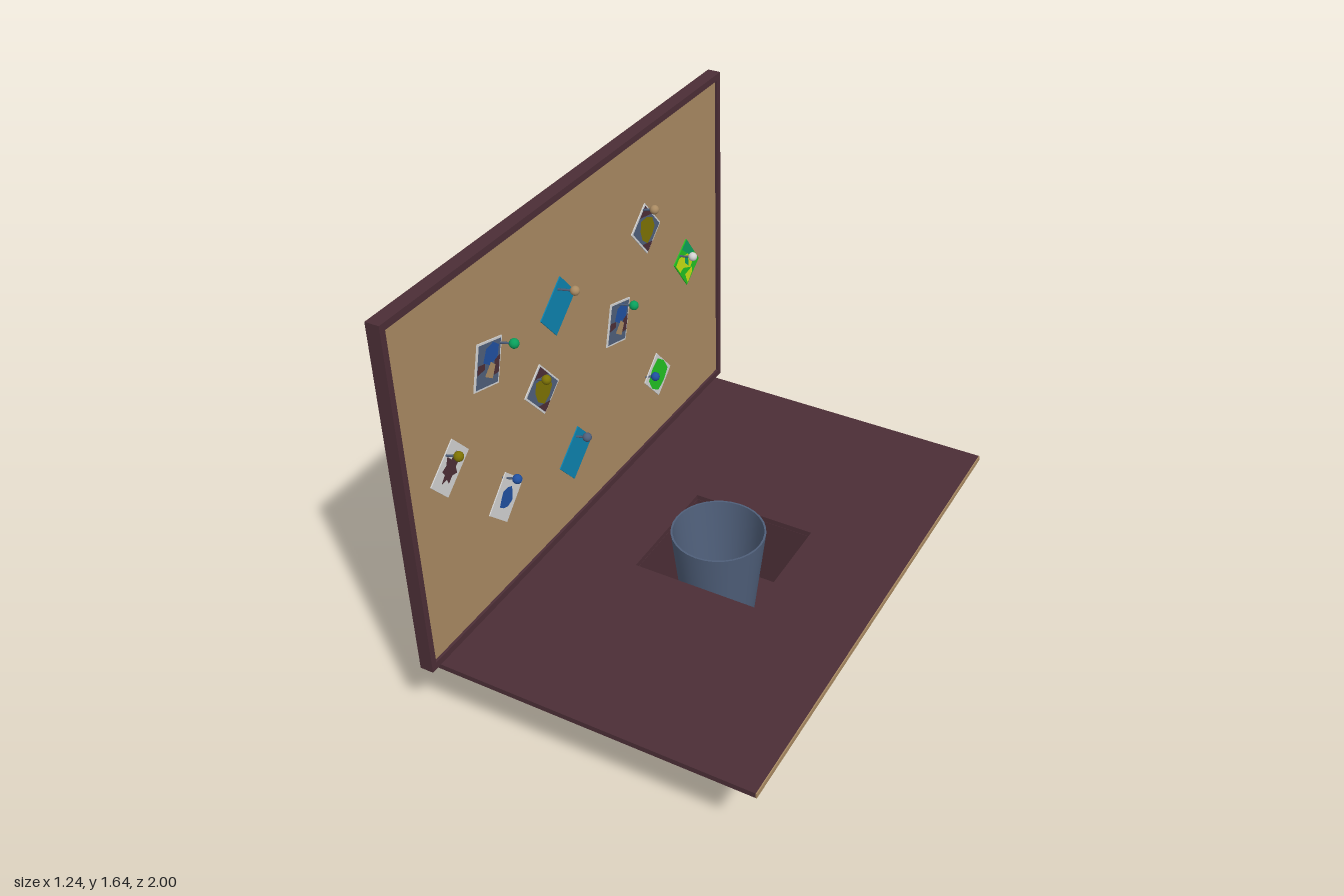
import * as THREE from 'three';
import { toCreasedNormals } from 'three/addons/utils/BufferGeometryUtils.js';

const paint = (name, color) => Object.assign(new THREE.MeshStandardMaterial({ color }), { name });
const M = {
  brown: paint('dark brown wood', 0x4c2e36),
  cork: paint('cork tan', 0xa98a62),
  slate: paint('slate blue', 0x4f5f7a),
  teal: paint('sky blue', 0x0d82ae),
  olive: paint('olive', 0x7d7203),
  blue: paint('blue', 0x2050a0),
  white: paint('paper white', 0xd2d2d2),
  green: paint('emerald green', 0x0aa05c),
  lime: paint('bright green', 0x22c122),
  yellow: paint('yellow green', 0xc6e012),
};

function add(parent, name, geometry, material, x = 0, y = 0, z = 0) {
  const m = new THREE.Mesh(geometry, material);
  m.name = name;
  m.position.set(x, y, z);
  parent.add(m);
  return m;
}
const box = (w, h, d) => new THREE.BoxGeometry(w, h, d);
const poly = (pts) => new THREE.Shape(pts.map(([x, y]) => new THREE.Vector2(x, y)));
const rect = (x0, y0, x1, y1) => poly([[x0, y0], [x1, y0], [x1, y1], [x0, y1]]);

// Rectangular slab with a rectangular opening
function slab(outer, inner, depth) {
  const s = rect(...outer);
  s.holes.push(rect(...inner));
  return new THREE.ExtrudeGeometry(s, { depth, bevelEnabled: false });
}

// Closed irregular outline from a list of radii
const blob = (radii, sx, sy) => radii.map((r, i) => {
  const a = (i / radii.length) * Math.PI * 2;
  return [Math.cos(a) * r * sx, Math.sin(a) * r * sy];
});

// Drawings: layers of [material, outline], outlines in half-widths and half-heights
const frameRect = [[-0.9, -0.92], [0.9, -0.92], [0.9, 0.92], [-0.9, 0.92]];
const art = {
  plain: { paper: 'teal', layers: [] },
  landscape: { paper: 'white', layers: [
    ['slate', frameRect],
    ['brown', [[0.9, -0.5], [0.9, 0.25], [0.45, 0.1], [0.5, -0.55]]],
    ['brown', [[-0.9, -0.3], [-0.3, -0.15], [-0.35, 0.1], [-0.9, 0.1]]],
    ['blue', [[-0.5, 0.15], [0.1, -0.05], [0.65, 0.2], [0.7, 0.7], [0.2, 0.9], [-0.35, 0.7]]],
    ['cork', [[-0.3, -0.45], [0.35, -0.65], [0.5, -0.1], [0.1, 0.1]]],
  ] },
  portrait: { paper: 'white', layers: [
    ['slate', frameRect],
    ['brown', [[0.1, 0.92], [0.9, 0.92], [0.9, 0.1]]],
    ['brown', [[-0.9, -0.2], [-0.9, -0.92], [-0.2, -0.92]]],
    ['olive', blob([0.8, 0.72, 0.85, 0.7, 0.75, 0.85, 0.7, 0.8], 0.95, 0.9)],
  ] },
  splat: { paper: 'white', layers: [
    ['brown', blob([0.8, 0.45, 0.75, 0.5, 0.8, 0.45, 0.85, 0.5, 0.7, 0.45, 0.8, 0.5, 0.75, 0.5], 1, 0.9)],
  ] },
  dot: { paper: 'white', layers: [['blue', blob([0.65, 0.5, 0.62, 0.55, 0.6, 0.5, 0.66, 0.55, 0.6], 1, 0.9)]] },
  bush: { paper: 'white', layers: [['lime', blob([1, 1.15, 0.95, 1.1, 1, 1.1, 0.95, 1.15], 0.97, 0.88)]] },
  leaf: { paper: 'lime', layers: [
    ['green', [[0.2, 0.98], [0.98, 0.98], [0.98, -0.2], [0.5, 0.1]]],
    ['yellow', [[-0.95, 0.85], [-0.4, 0.9], [0.4, 0.35], [0.6, -0.4], [0, -0.5], [-0.5, 0.1], [-0.95, 0.2]]],
    ['yellow', [[-0.9, -0.9], [-0.1, -0.85], [0.1, -0.6], [-0.7, -0.3]]],
    ['green', [[0.1, 0.5], [0.3, 0.2], [-0.1, -0.2], [-0.2, 0.2]]],
  ] },
};

// [drawing, y, z, tilt in degrees, width, height, x, pin colour, pin y, pin z, pin x]
const notes = [
  ['landscape', 1.247, 0.535, -15, 0.132, 0.162, -0.556, 'green', 1.298, 0.461, -0.502],
  ['plain', 1.243, 0.133, -50, 0.128, 0.166, -0.556, 'cork', 1.316, 0.124, -0.49],
  ['portrait', 1.257, -0.444, 40, 0.128, 0.160, -0.556, 'cork', 1.35, -0.432, -0.51],
  ['splat', 1.0, 0.778, -50, 0.114, 0.166, -0.556, 'olive', 1.068, 0.785, -0.508],
  ['portrait', 0.986, 0.262, 40, 0.128, 0.160, -0.556, 'olive', 1.05, 0.284, -0.518],
  ['landscape', 0.98, -0.23, -15, 0.132, 0.162, -0.556, 'green', 1.06, -0.245, -0.495],
  ['leaf', 0.975, -0.734, 36, 0.118, 0.160, -0.556, 'white', 1.037, -0.685, -0.5],
  ['dot', 0.716, 0.53, -45, 0.124, 0.154, -0.544, 'blue', 0.797, 0.514, -0.502],
  ['plain', 0.607, 0.09, -50, 0.128, 0.166, -0.556, 'slate', 0.685, 0.08, -0.51],
  ['bush', 0.607, -0.484, 41, 0.125, 0.152, -0.55, 'blue', 0.645, -0.418, -0.52],
];

function makeNote([kind, y, z, tilt, w, h, x]) {
  const g = new THREE.Group();
  g.name = 'pinnedNote';
  g.position.set(x, y, z);
  g.rotation.set(0, Math.PI / 2, THREE.MathUtils.degToRad(tilt));
  add(g, 'paper', box(w, h, 0.004), M[art[kind].paper]);
  art[kind].layers.forEach(([mat, pts], i) => {
    const shape = poly(pts.map(([px, py]) => [px * w / 2, py * h / 2]));
    add(g, 'drawing', new THREE.ShapeGeometry(shape), M[mat], 0, 0, 0.003 + i * 0.001);
  });
  return g;
}

function makePin(mat, y, z, x) {
  const g = new THREE.Group();
  g.name = 'pushPin';
  const head = new THREE.Vector3(x, y, z);
  const tip = new THREE.Vector3(-0.562, y - 0.012, z + 0.004);
  const dir = head.clone().sub(tip);
  const mid = head.clone().add(tip).multiplyScalar(0.5);
  add(g, 'pinHead', new THREE.SphereGeometry(0.017, 14, 10), mat, x, y, z);
  const needle = add(g, 'needle', new THREE.CylinderGeometry(0.004, 0.004, dir.length(), 8), M.slate, mid.x, mid.y, mid.z);
  needle.quaternion.setFromUnitVectors(new THREE.Vector3(0, 1, 0), dir.normalize());
  return g;
}

export function createModel() {
  const model = new THREE.Group();
  model.name = 'pinboardTable';

  // Table top with a square opening, and its tan front edging
  const top = add(model, 'tableTop', slab([-0.618, -0.957, 0.614, 0.957], [-0.237, -0.227, 0.237, 0.227], 0.02), M.brown, 0, 0.29, 0);
  top.rotation.x = -Math.PI / 2;
  add(model, 'tableEdging', box(0.004, 0.02, 1.914), M.cork, 0.616, 0.3, 0);

  // Hollow pedestal open at the top
  for (const s of [-1, 1]) {
    add(model, 'pedestalSide', box(0.004, 0.29, 0.46), M.brown, s * 0.238, 0.145, 0);
    add(model, 'pedestalEnd', box(0.472, 0.29, 0.004), M.brown, 0, 0.145, s * 0.228);
  }
  add(model, 'pedestalFloor', box(0.472, 0.01, 0.452), M.brown, 0, 0.005, 0);

  // Tapered bucket standing in the opening
  const profile = [[0, 0.015], [0.132, 0.015], [0.172, 0.385], [0.165, 0.385], [0.129, 0.03], [0, 0.03]];
  const bucket = new THREE.LatheGeometry(profile.map(([r, y]) => new THREE.Vector2(r, y)), 32);
  add(model, 'bucket', toCreasedNormals(bucket, 0.6), M.slate, -0.025, 0, 0);

  // Upright board: frame, back panel, recessed cork
  const frame = add(model, 'boardFrame', slab([-1, 0.31, 1, 1.645], [-0.977, 0.336, 0.977, 1.62], 0.05), M.brown, -0.6, 0, 0);
  frame.rotation.y = Math.PI / 2;
  add(model, 'boardBack', box(0.02, 1.284, 1.954), M.brown, -0.59, 0.978, 0);
  add(model, 'corkPanel', box(0.02, 1.284, 1.954), M.cork, -0.57, 0.978, 0);

  // Notes and their pins
  for (const n of notes) {
    model.add(makeNote(n));
    model.add(makePin(M[n[7]], n[8], n[9], n[10]));
  }
  return model;
}
